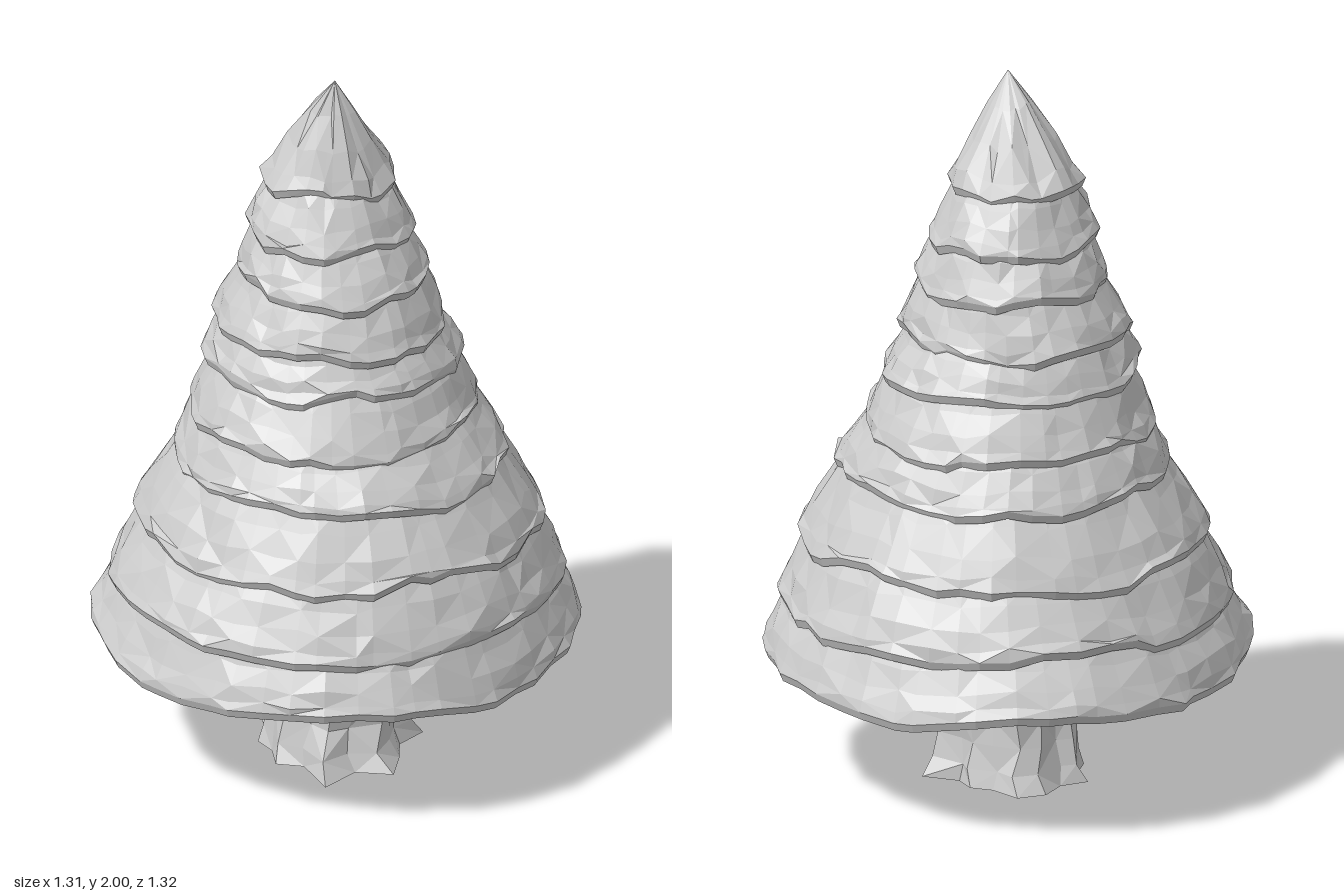
import * as THREE from 'three';

const material = new THREE.MeshStandardMaterial({ color: 0xcccccc, flatShading: true, side: THREE.DoubleSide });

// Repeatable noise in -1..1
function noise(a, b, c = 0) {
  const s = Math.sin(a * 127.1 + b * 311.7 + c * 74.7) * 43758.5453;
  return 2 * (s - Math.floor(s)) - 1;
}

// Skin rows of points (listed from top to bottom) that wrap around the y axis
function loft(name, rows, columns, point) {
  const positions = [], index = [];
  for (let r = 0; r < rows; r++)
    for (let c = 0; c < columns; c++) positions.push(...point(r, c));
  for (let r = 0; r < rows - 1; r++)
    for (let c = 0; c < columns; c++) {
      const a = r * columns + c, b = r * columns + (c + 1) % columns;
      const d = a + columns, e = b + columns;
      if ((r + c) % 2) index.push(a, b, d, b, e, d);
      else index.push(a, b, e, a, e, d);
    }
  const indexed = new THREE.BufferGeometry();
  indexed.setAttribute('position', new THREE.Float32BufferAttribute(positions, 3));
  indexed.setIndex(index);
  const geometry = indexed.toNonIndexed();
  geometry.computeVertexNormals();
  const mesh = new THREE.Mesh(geometry, material);
  mesh.name = name;
  return mesh;
}

// Rim of each foliage tier: height, radius, centre x, centre z
const RIMS = [
  [1.69, 0.176, 0.00, -0.02],
  [1.545, 0.230, 0.00, -0.015],
  [1.42, 0.268, 0.00, -0.005],
  [1.275, 0.308, -0.01, -0.01],
  [1.165, 0.345, 0.00, -0.005],
  [1.01, 0.400, 0.00, 0.00],
  [0.885, 0.456, 0.00, 0.02],
  [0.69, 0.546, 0.00, 0.02],
  [0.515, 0.612, -0.005, 0.012],
  [0.362, 0.652, 0.00, 0.003],
];

// One skirt of branches: sloping outside, ragged lip and a tucked-in underside
function tier(i) {
  const [rimY, rimR, cx, cz] = RIMS[i];
  const first = i === 0, last = i === RIMS.length - 1;
  const [topY, topR, tx, tz] = first ? [2, 0, -0.02, 0.02] : RIMS[i - 1];
  const columns = 22 + i * 3;
  const startR = first ? 0 : topR - 0.035, startY = first ? 2 : topY + 0.035;
  // [share of the drop, share of the spread] down the outside
  const slope = first ? [[0, 0], [0.3, 0.32], [0.6, 0.62], [0.85, 0.87]]
    : [[0, 0], [0.32, 0.35], [0.62, 0.67], [0.85, 0.89]];

  // Only the lowest tier needs an underside that closes at the middle
  return loft('foliageTier' + (i + 1), last ? 8 : 7, columns, (r, c) => {
    const angle = (c + 0.3 * noise(i, c, 1)) / columns * Math.PI * 2;
    const wave = last
      ? -0.018 * Math.cos(4 * angle) - 0.009 * Math.cos(angle) + 0.004 * Math.sin(7 * angle)
      : 0.010 * Math.sin(3 * angle + i * 2.1) + 0.007 * Math.sin(7 * angle + i) - 0.006 * Math.cos(angle);
    const notch = !last && noise(i, c, 2) > 0.8 ? 0.018 : 0;
    // Lower tiers reach out a little further at the back left
    const lean = i > 5 ? 0.016 * Math.max(0, Math.cos(angle + 0.7)) ** 4 : 0;
    const bulge = lean + (last ? 0.014 * Math.sin(2 * angle) ** 2 : 0.008 * Math.sin(2 * angle + i * 1.7));
    const ragged = 0.008 * noise(i, c, 3);
    const lipY = rimY + wave + notch + 0.006 * noise(i, c, 4);
    let radius, y, t = 1;
    if (r < 4) {
      t = slope[r][1];
      radius = startR + (rimR - startR) * t + bulge * t;
      y = startY + (rimY + 0.01 - startY) * slope[r][0] + wave * t;
      if (r > 0) {
        radius += 0.006 * noise(i * 9 + r, c, 5);
        y += 0.008 * noise(i * 9 + r, c, 6);
      }
    } else if (r === 4) {
      radius = rimR + bulge + ragged;
      y = lipY + 0.012;
    } else if (r === 5) {
      radius = rimR + bulge + ragged - 0.01;
      y = lipY - 0.012;
    } else if (r === 6) {
      radius = last ? rimR * 0.6 : rimR - 0.06;
      y = rimY + (last ? 0.04 : 0.014) + 0.006 * noise(i, c, 7);
    } else {
      radius = 0;
      y = rimY + 0.08;
    }
    const x0 = tx + (cx - tx) * t, z0 = tz + (cz - tz) * t;
    return [x0 + radius * Math.cos(angle), y, z0 + radius * Math.sin(angle)];
  });
}

// Gnarled trunk flaring into pointed roots, with a flat bottom
function trunk() {
  const heights = [0.45, 0.33, 0.26, 0.19, 0.12, 0.05, 0, 0];
  const flare = [0, 0, 0.1, 0.27, 0.35, 0.64, 1, 1];
  // Root reach around the base, from +x through +z
  const roots = [0.19, 0.17, 0.25, 0.19, 0.22, 0.28, 0.22, 0.30, 0.19,
    0.22, 0.18, 0.2, 0.18, 0.23, 0.19, 0.23, 0.24, 0.18];
  const columns = roots.length;
  return loft('trunk', heights.length, columns, (r, c) => {
    const angle = c / columns * Math.PI * 2;
    const ridge = 0.003 * (c % 2 ? -1 : 1) + 0.01 * noise(c, 3) + 0.01 * noise(r, c, 8);
    // Knot on the front side
    const knot = 0.045 * Math.max(0, Math.sin(angle)) * Math.exp(-(((heights[r] - 0.2) / 0.07) ** 2));
    let radius = (0.156 + ridge + knot) * (1 - flare[r]) + roots[c] * flare[r];
    if (r === heights.length - 1) radius = 0;
    const twist = r < 6 ? 0.1 * noise(r, c, 9) : 0;
    return [-0.018 + radius * Math.cos(angle + twist), heights[r], 0.005 + radius * Math.sin(angle + twist)];
  });
}

export function createModel() {
  const tree = new THREE.Group();
  tree.name = 'pineTree';
  const foliage = new THREE.Group();
  foliage.name = 'foliage';
  RIMS.forEach((_, i) => foliage.add(tier(i)));
  tree.add(foliage, trunk());
  return tree;
}
